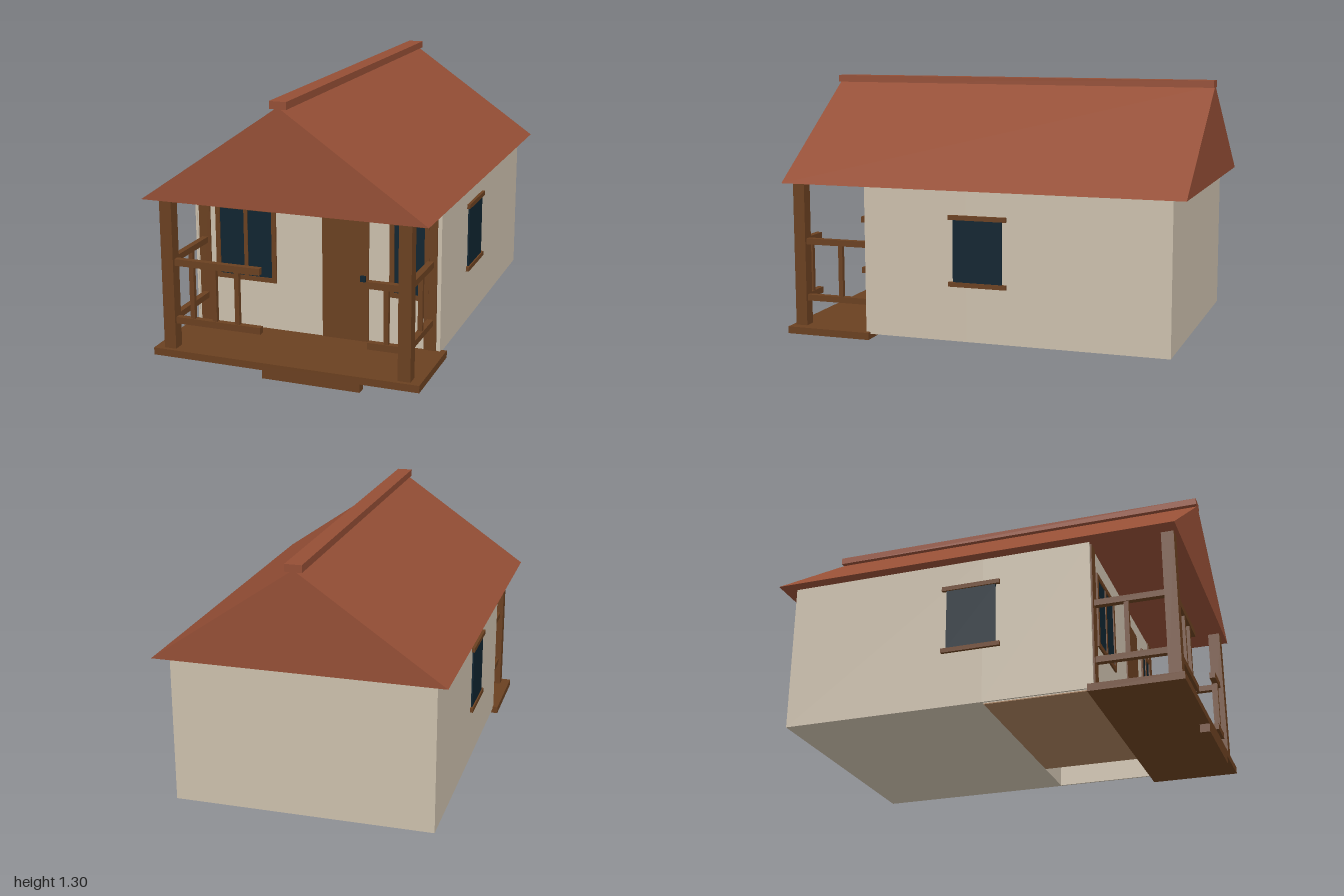
import * as THREE from 'three';

const mat = (name, color) => {
  const m = new THREE.MeshStandardMaterial({ color });
  m.name = name;
  return m;
};

export function createModel() {
  const house = new THREE.Group();
  house.name = 'cabin';
  const plaster = mat('plaster', 0xcbbfac);
  const wood = mat('wood', 0x6a4020);
  const tile = mat('roofTile', 0x944e35);
  const glass = mat('darkGlass', 0x0f2430);
  const boards = mat('floorBoards', 0xa47c58);

  // Box given by its minimum and maximum on each axis
  const box = (name, material, [x0, x1], [y0, y1], [z0, z1], parent = house) => {
    const mesh = new THREE.Mesh(new THREE.BoxGeometry(x1 - x0, y1 - y0, z1 - z0), material);
    mesh.position.set((x0 + x1) / 2, (y0 + y1) / 2, (z0 + z1) / 2);
    mesh.name = name;
    parent.add(mesh);
    return mesh;
  };
  // Span on the x axis, flipped for the other side
  const span = (s, a, b) => (s > 0 ? [a, b] : [-b, -a]);
  const group = (name) => {
    const g = new THREE.Group();
    g.name = name;
    house.add(g);
    return g;
  };

  // Walls: solid rear block, thin walls around the front part
  box('rearBlock', plaster, [-0.63, 0.63], [0.065, 0.8], [-0.93, 0.06]);
  box('frontWall', plaster, [-0.62, 0.62], [0.065, 0.8], [0.572, 0.582]);
  for (const s of [1, -1]) box('sideWall', plaster, span(s, 0.62, 0.63), [0.065, 0.8], [0.06, 0.585]);

  // Inner room with boarded underside
  box('innerRoom', plaster, [-0.6, 0.34], [0.07, 0.8], [0.06, 0.57]);
  box('innerFloor', boards, [-0.6, 0.34], [0.065, 0.07], [0.06, 0.57]);

  // Gabled roof and ridge beam
  const gable = new THREE.Shape([
    new THREE.Vector2(-0.69, 0.8),
    new THREE.Vector2(0.69, 0.8),
    new THREE.Vector2(0, 1.275),
  ]);
  const roof = new THREE.Mesh(new THREE.ExtrudeGeometry(gable, { depth: 2, bevelEnabled: false }), tile);
  roof.position.z = -1;
  roof.name = 'roof';
  house.add(roof);
  box('ridgeBeam', tile, [-0.04, 0.04], [1.265, 1.3], [-1, 1]);

  // Porch deck and step
  box('porchDeck', wood, [-0.657, 0.657], [0.04, 0.075], [0.563, 1]);
  box('porchStep', wood, [-0.1, 0.378], [0, 0.04], [0.953, 1]);

  // Posts and side railings
  for (const s of [1, -1]) {
    box('porchPost', wood, span(s, 0.55, 0.61), [0.075, 0.8], [0.92, 0.98]);
    box('wallPost', wood, span(s, 0.55, 0.61), [0.075, 0.8], [0.582, 0.59]);
    const rail = group('sideRailing');
    for (const y of [0.2, 0.485]) box('rail', wood, span(s, 0.565, 0.595), [y, y + 0.03], [0.585, 0.92], rail);
    box('baluster', wood, span(s, 0.569, 0.591), [0.23, 0.485], [0.728, 0.75], rail);
  }

  // Front railings, longer on one side than the other
  const frontRailing = (x0, x1, balusters) => {
    const g = group('frontRailing');
    for (const y of [0.198, 0.483]) box('rail', wood, [x0, x1], [y, y + 0.032], [0.935, 0.965], g);
    for (const x of balusters) box('baluster', wood, [x - 0.011, x + 0.011], [0.23, 0.483], [0.939, 0.961], g);
  };
  frontRailing(-0.55, -0.12, [-0.466, -0.352, -0.237]);
  frontRailing(0.4, 0.55, [0.487]);

  // Front windows: glass, four frame bars and a mullion
  const frontWindow = (x0, x1) => {
    const g = group('frontWindow');
    const [y0, y1, t, mid] = [0.315, 0.695, 0.023, (x0 + x1) / 2];
    const z = [0.582, 0.591];
    box('pane', glass, [x0 + t, x1 - t], [y0 + t, y1 - t], [0.582, 0.585], g);
    box('frameBar', wood, [x0, x1], [y0, y0 + t], z, g);
    box('frameBar', wood, [x0, x1], [y1 - t, y1], z, g);
    box('frameBar', wood, [x0, x0 + t], [y0 + t, y1 - t], z, g);
    box('frameBar', wood, [x1 - t, x1], [y0 + t, y1 - t], z, g);
    box('mullion', wood, [mid - 0.01, mid + 0.01], [y0 + t, y1 - t], [0.582, 0.589], g);
  };
  frontWindow(-0.52, -0.2);
  frontWindow(0.378, 0.572);

  // Side windows with lintel and sill
  for (const s of [1, -1]) {
    const g = group('sideWindow');
    box('pane', glass, span(s, 0.63, 0.638), [0.355, 0.655], [-0.12, 0.125], g);
    for (const y of [0.333, 0.655]) box('ledge', wood, span(s, 0.63, 0.645), [y, y + 0.022], [-0.143, 0.147], g);
  }

  // Door and handle
  box('door', wood, [0.04, 0.275], [0.075, 0.717], [0.582, 0.589]);
  box('doorHandle', glass, [0.236, 0.261], [0.378, 0.407], [0.589, 0.6]);

  return house;
}
